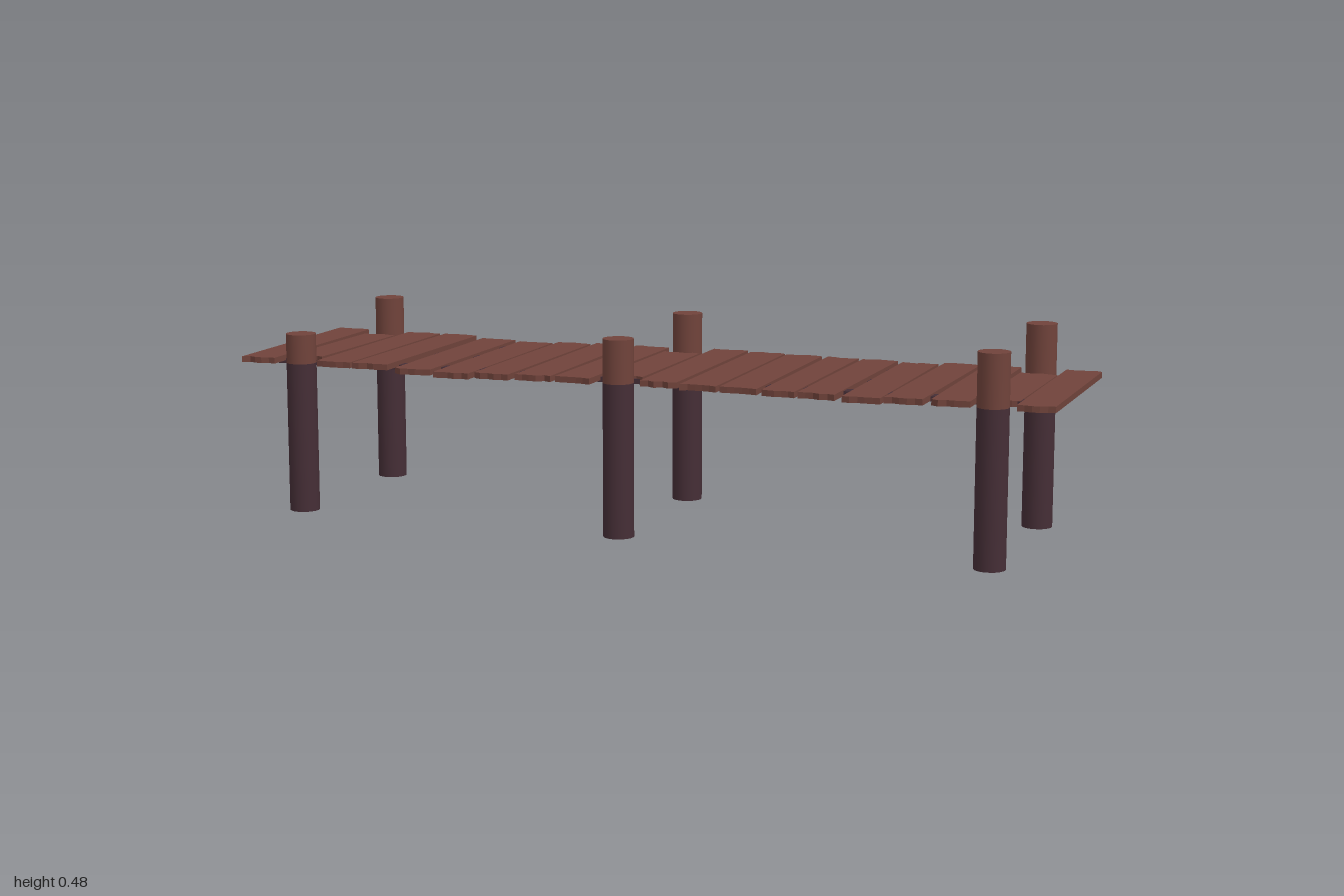
import * as THREE from 'three';

const wood = new THREE.MeshStandardMaterial({ color: 0x70433b });
wood.name = 'reddish brown wood';
const darkWood = new THREE.MeshStandardMaterial({ color: 0x452e36 });
darkWood.name = 'dark wet wood';

// Small seeded generator, returns -1..1
let seed = 7;
function jitter() {
  seed = (seed * 16807) % 2147483647;
  return (seed / 2147483647) * 2 - 1;
}

function addMesh(parent, name, geometry, material, x, y, z) {
  const mesh = new THREE.Mesh(geometry, material);
  mesh.name = name;
  mesh.position.set(x, y, z);
  parent.add(mesh);
  return mesh;
}

// Plank outline with ragged ends, extruded to its thickness and laid flat
function plankGeometry(width, zBack, zFront, thickness) {
  const steps = 5;
  const points = [];
  for (let i = 0; i <= steps; i++) {
    points.push(new THREE.Vector2(-width / 2 + (width * i) / steps, -zFront + jitter() * 0.006));
  }
  for (let i = steps; i >= 0; i--) {
    points.push(new THREE.Vector2(-width / 2 + (width * i) / steps, -zBack + jitter() * 0.006));
  }
  const geometry = new THREE.ExtrudeGeometry(new THREE.Shape(points), { depth: thickness, bevelEnabled: false });
  return geometry.rotateX(-Math.PI / 2);
}

// Post: dark lower part, lighter part above the deck line
function addPost(parent, name, x, z, height) {
  const r = 0.036, split = 0.36;
  const post = new THREE.Group();
  post.name = name;
  post.position.set(x, 0, z);
  parent.add(post);
  addMesh(post, 'postBase', new THREE.CylinderGeometry(r, r, split, 20), darkWood, 0, split / 2, 0);
  const top = height - split;
  addMesh(post, 'postTop', new THREE.CylinderGeometry(r, r, top, 20), wood, 0, split + top / 2, 0);
}

export function createModel() {
  const model = new THREE.Group();
  model.name = 'pier';

  // Deck planks: left x, right x, underside y, yaw
  const planks = [
    [-0.993, -0.908, 0.356, 0.015], [-0.886, -0.802, 0.357, -0.01], [-0.79, -0.702, 0.357, 0.01],
    [-0.69, -0.6, 0.358, 0], [-0.582, -0.492, 0.352, 0.012], [-0.48, -0.392, 0.349, 0.012],
    [-0.375, -0.288, 0.353, 0.005], [-0.27, -0.182, 0.356, 0.012], [-0.168, -0.08, 0.356, -0.008],
    [-0.068, 0.024, 0.356, 0], [0.04, 0.128, 0.359, 0.008], [0.137, 0.224, 0.357, 0.01],
    [0.23, 0.318, 0.356, 0.012], [0.33, 0.408, 0.355, 0.008], [0.417, 0.504, 0.355, 0],
    [0.518, 0.605, 0.353, 0.01], [0.618, 0.705, 0.357, -0.004], [0.72, 0.807, 0.358, 0.008],
    [0.816, 0.905, 0.355, 0], [0.912, 0.996, 0.358, 0.005],
  ];
  const deck = new THREE.Group();
  deck.name = 'deck';
  model.add(deck);
  const shortPlanks = [1, 9, 18];
  planks.forEach(([x0, x1, y, yaw], i) => {
    const half = shortPlanks.includes(i) ? 0.187 : 0.253;
    const shift = i === 0 ? -0.008 : 0;
    const geometry = plankGeometry(x1 - x0, -half + shift, half + shift, 0.014);
    addMesh(deck, 'plank', geometry, wood, (x0 + x1) / 2, y, 0).rotation.y = yaw;
  });

  // Long beams under the deck: z, start x, end x, centre y, tilt
  const beams = [
    [-0.17, -1, 0.94, 0.354, 0], [-0.012, -1, 0.93, 0.354, 0], [0.17, -1, 0.94, 0.358, 0.004],
  ];
  for (const [z, x0, x1, y, tilt] of beams) {
    const beam = addMesh(model, 'beam', new THREE.BoxGeometry(x1 - x0, 0.012, 0.034), darkWood, (x0 + x1) / 2, y, z);
    beam.rotation.z = tilt;
  }

  // Three pairs of posts
  addPost(model, 'frontRightPost', -0.842, 0.224, 0.43);
  addPost(model, 'backRightPost', -0.834, -0.227, 0.462);
  addPost(model, 'frontMiddlePost', -0.022, 0.225, 0.462);
  addPost(model, 'backMiddlePost', -0.022, -0.227, 0.462);
  addPost(model, 'frontLeftPost', 0.856, 0.232, 0.482);
  addPost(model, 'backLeftPost', 0.856, -0.227, 0.482);

  return model;
}
